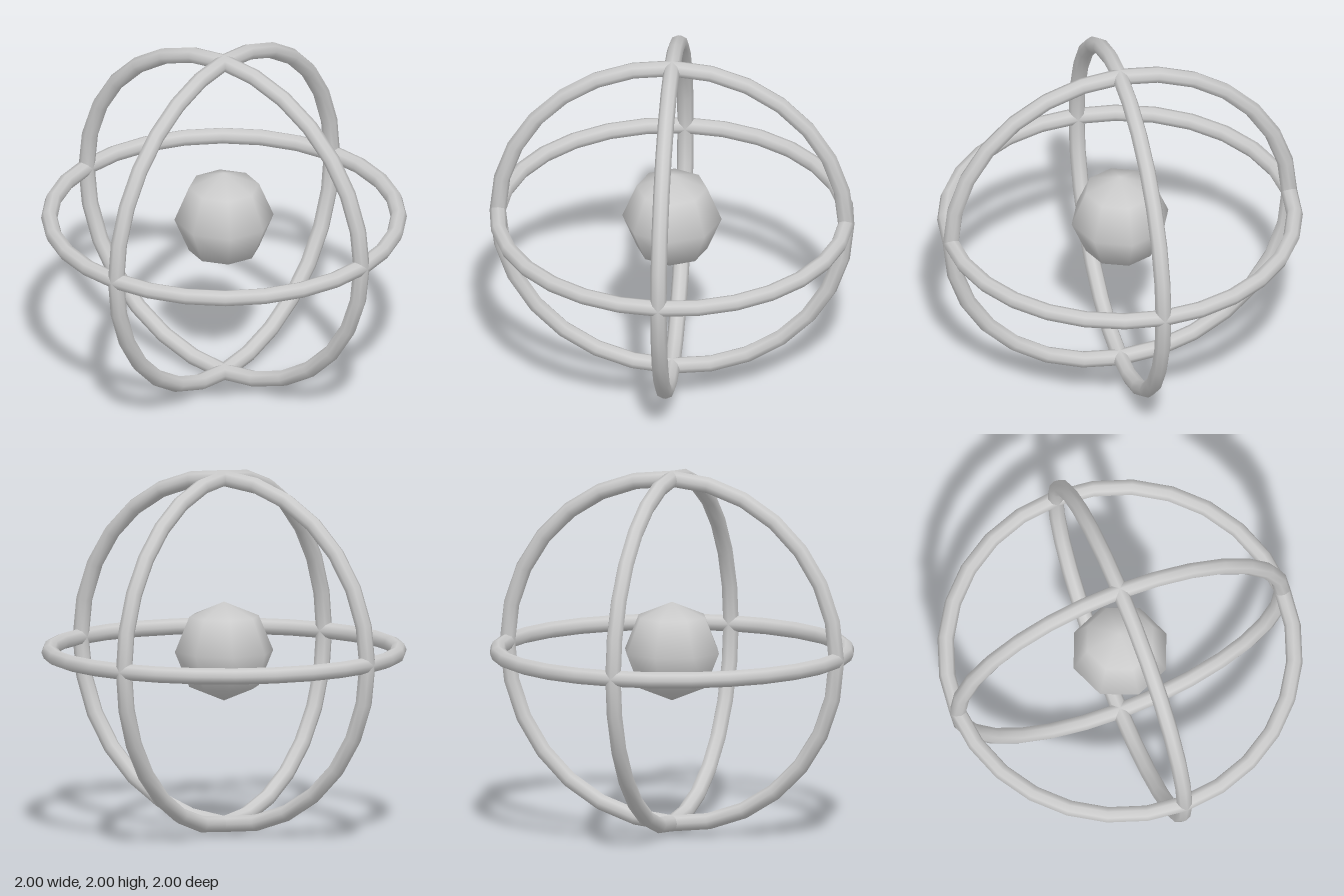
import * as THREE from 'three';

const RING_RADIUS = 0.955;
const TUBE_RADIUS = 0.045;
const CORE_RADIUS = 0.273;

export function createModel() {
  const model = new THREE.Group();
  model.name = 'ringedCore';
  const material = new THREE.MeshStandardMaterial({ color: 0xcccccc });

  const addPart = (name, geometry) => {
    const mesh = new THREE.Mesh(geometry, material);
    mesh.name = name;
    mesh.position.y = 1;
    model.add(mesh);
    return mesh;
  };

  // Low-poly ball floating in the centre
  addPart('core', new THREE.SphereGeometry(CORE_RADIUS, 8, 4));

  // Three equal rings, one in each main plane
  const ring = new THREE.TorusGeometry(RING_RADIUS, TUBE_RADIUS, 8, 28);
  addPart('frontRing', ring);
  addPart('sideRing', ring).rotation.y = Math.PI / 2;
  addPart('horizontalRing', ring).rotation.x = Math.PI / 2;

  return model;
}
